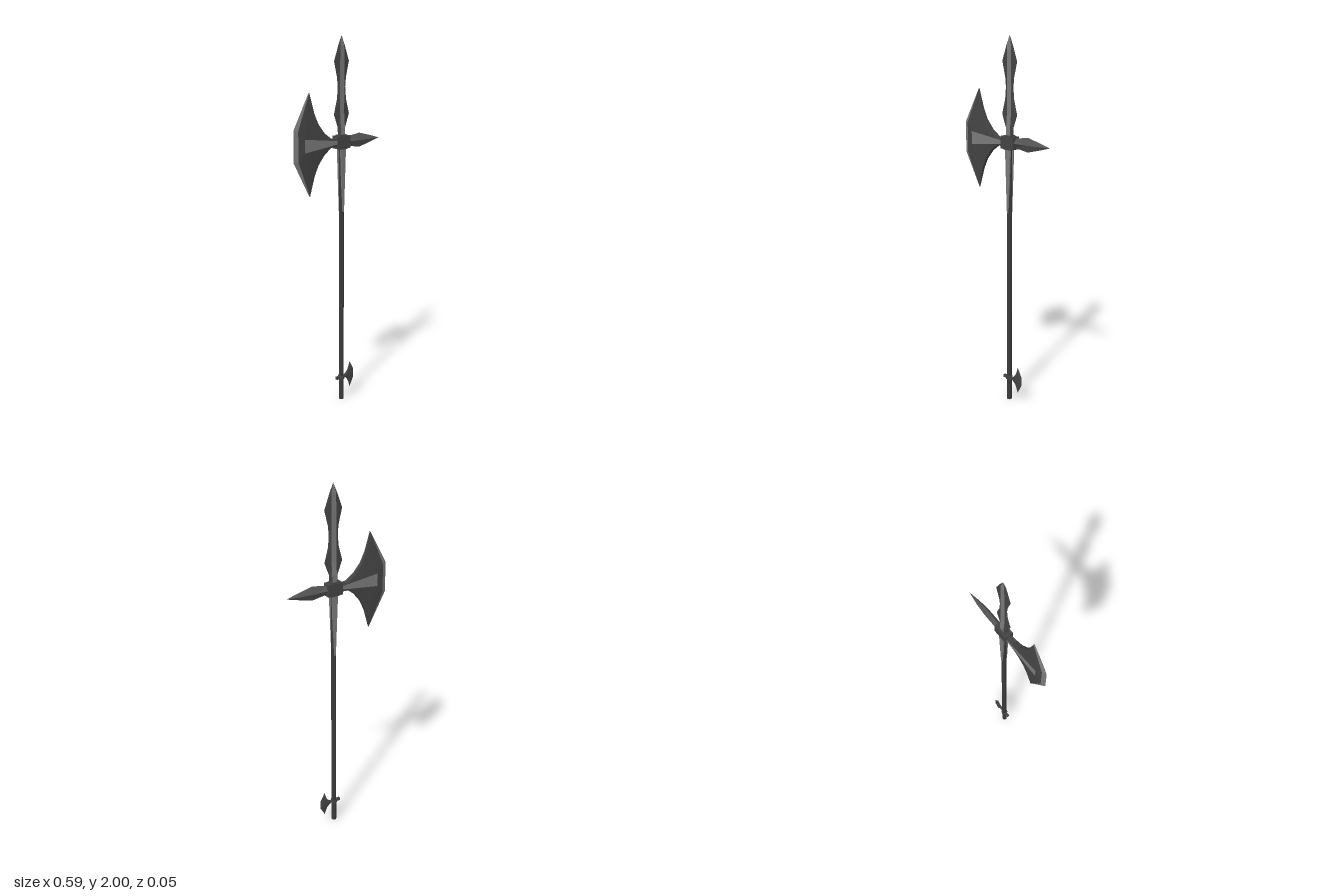
import * as THREE from 'three';

const paint = (color) => new THREE.MeshStandardMaterial({ color, flatShading: true });
const DARK = paint(0x444444), LIGHT = paint(0x7a7a7a), SHAFT = paint(0x3a3a3a);

function add(parent, name, geometry, material, x = 0, y = 0, z = 0) {
  const mesh = new THREE.Mesh(geometry, material);
  mesh.name = name;
  mesh.position.set(x, y, z);
  parent.add(mesh);
  return mesh;
}

// Mirrors polygons of the +y +z quarter into all four quarters, facing outwards
function quarters(polys) {
  const out = [];
  const a = new THREE.Vector3(), b = new THREE.Vector3();
  for (const poly of polys) {
    for (let i = 1; i < poly.length - 1; i++) {
      let tri = [poly[0], poly[i], poly[i + 1]].map((p) => new THREE.Vector3(...p));
      a.subVectors(tri[1], tri[0]);
      b.subVectors(tri[2], tri[0]);
      a.cross(b);
      if (a.length() < 1e-10) continue;
      if (a.y + a.z < 0) tri.reverse();
      for (const sy of [1, -1]) for (const sz of [1, -1]) {
        const t = sy * sz > 0 ? tri : [...tri].reverse();
        for (const p of t) out.push(p.x, p.y * sy, p.z * sz);
      }
    }
  }
  const g = new THREE.BufferGeometry();
  g.setAttribute('position', new THREE.Float32BufferAttribute(out, 3));
  g.computeVertexNormals();
  return g;
}

// Quad strip between two rows of points
const strip = (p, q) => p.slice(1).map((_, i) => [p[i], p[i + 1], q[i + 1], q[i]]);
const flat = (p) => [p[0], p[1], 0];
const axis = (p) => [p[0], 0, p[2]];

// Crescent blade: its cutting edge faces -x, its neck ends at x = 0
function axeBlade(name, accent) {
  const group = new THREE.Group();
  group.name = name;
  const curve = [[-0.193, 0.265, 0.003], [-0.165, 0.16, 0.008], [-0.14, 0.105, 0.01],
    [-0.1, 0.055, 0.012], [-0.055, 0.023, 0.013], [0, 0.02, 0.013]];
  const ridge = curve.map((_, i) => {
    const t = i / (curve.length - 1);
    return [-0.235 + 0.235 * t, 0.035 - 0.028 * t, 0.017];
  });
  const bevel = [-0.272, 0.078, 0.01], edge = [-0.295, 0.082, 0];
  add(group, 'bladeBody', quarters([
    ...strip(curve, ridge),
    ...strip(curve, curve.map(flat)),
    [curve[0], bevel, ridge[0]],
    [bevel, axis(bevel), axis(ridge[0]), ridge[0]],
  ]), DARK);
  add(group, 'bladeRidge', quarters(strip(ridge, ridge.map(axis))), accent);
  add(group, 'cuttingEdge', quarters([
    [curve[0], flat(curve[0]), edge, bevel],
    [edge, axis(edge), axis(bevel), bevel],
  ]), accent);
  return group;
}

export function createModel() {
  const model = new THREE.Group();
  model.name = 'poleaxe';
  const cx = 0.025, headY = 1.455;

  // Pole
  add(model, 'shaft', new THREE.CylinderGeometry(0.014, 0.014, 1.46, 10), SHAFT, cx, 0.73, 0);

  // Tapered straps down the front and back of the pole
  for (const s of [1, -1]) {
    const strap = new THREE.BoxGeometry(0.036, 0.35, 0.008);
    const p = strap.attributes.position;
    for (let i = 0; i < p.count; i++) if (p.getY(i) < 0) p.setX(i, p.getX(i) * 0.25);
    strap.computeVertexNormals();
    add(model, 'strap', strap, LIGHT, cx, 1.255, s * 0.0125);
  }

  // Socket block
  add(model, 'collar', new THREE.BoxGeometry(0.086, 0.066, 0.046), DARK, cx, headY, 0);
  add(model, 'collarCore', new THREE.BoxGeometry(0.05, 0.076, 0.036), DARK, cx, headY, 0);

  // Main axe blade
  const blade = axeBlade('axeBlade', LIGHT);
  blade.position.set(0, headY, 0);
  model.add(blade);

  // Diamond section back spike
  const top = [[0.05, 0.022, 0], [0.15, 0.038, 0], [0.22, 0.021, 0], [0.297, 0, 0]];
  const side = [[0.05, 0, 0.017], [0.15, 0, 0.017], [0.22, 0, 0.012], [0.297, 0, 0]];
  add(model, 'backSpike', quarters(strip(top, side)), paint(0x555555), 0, headY, 0);

  // Leaf shaped spear point, built along x and turned upright
  const spear = new THREE.Group();
  spear.name = 'spearPoint';
  spear.position.set(cx, 0, 0);
  spear.rotation.z = Math.PI / 2;
  const rim = [[1.47, 0.022, 0.004], [1.53, 0.024, 0.002], [1.6, 0.052, 0], [1.68, 0.031, 0],
    [1.74, 0.026, 0], [1.79, 0.031, 0], [1.87, 0.051, 0], [1.95, 0.022, 0], [2, 0, 0]];
  const inner = rim.map(([x, y], i) => [x, Math.min(y * 0.6, 0.014),
    i < 2 ? 0.012 : i === 8 ? 0 : 0.006]);
  add(spear, 'spearBlade', quarters([...strip(rim, inner), ...strip(rim, rim.map(flat))]), DARK);
  add(spear, 'spearRidge', quarters(strip(inner, inner.map(axis))), LIGHT);
  model.add(spear);

  // Small blade, ring and stub near the foot
  const small = axeBlade('footBlade', DARK);
  small.scale.set(0.28, 0.278, 0.4);
  small.rotation.y = Math.PI;
  small.position.set(0.034, 0.13, 0);
  model.add(small);
  add(model, 'footRing', new THREE.CylinderGeometry(0.018, 0.018, 0.018, 10), DARK, cx, 0.13, 0);
  add(model, 'footStub', new THREE.BoxGeometry(0.055, 0.015, 0.015), DARK, 0.0155, 0.13, 0);
  return model;
}
